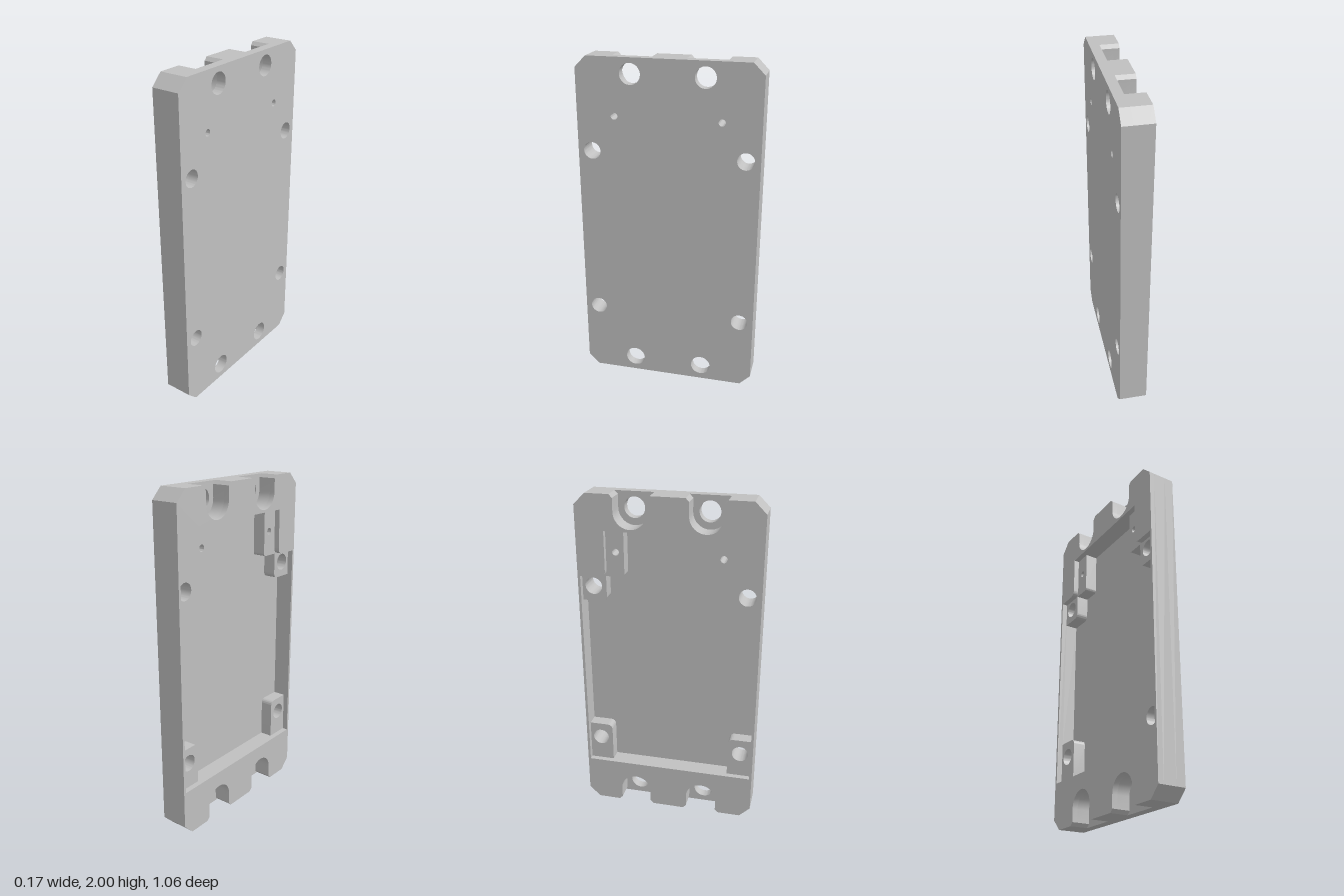
import * as THREE from 'three';
import { toCreasedNormals } from 'three/addons/utils/BufferGeometryUtils.js';

const HOLE_Z = 0.2125;   // offset of the slots and their holes
const SLOT_R = 0.095;

// Closed outline with rounded corners; each point is [u, v, radius]
function roundedPath(points) {
  const path = new THREE.Path();
  const n = points.length;
  points.forEach(([u, v, r = 0], i) => {
    const p = new THREE.Vector2(u, v);
    const toward = (q) => new THREE.Vector2(q[0], q[1]).sub(p).setLength(r).add(p);
    const a = toward(points[(i + n - 1) % n]);
    const b = toward(points[(i + 1) % n]);
    if (i === 0) path.moveTo(a.x, a.y);
    else path.lineTo(a.x, a.y);
    if (r > 0) path.quadraticCurveTo(u, v, b.x, b.y);
  });
  path.closePath();
  return path;
}

// Adds the mirrored half of a right-hand contour
const mirrored = (half) => [...half, ...half.map(([u, v, r]) => [-u, v, r]).reverse()];

function circle(u, v, r) {
  const path = new THREE.Path();
  path.absarc(u, v, r, 0, Math.PI * 2, true);
  return path;
}

// Chamfered plate outline, optionally with U slots in the two ends
function plateOutline(slotted) {
  const half = [[-0.53, 0.065], [-0.465, 0]];
  if (slotted) {
    for (const c of [-HOLE_Z, HOLE_Z]) {
      half.push([c - 0.114, 0], [c - SLOT_R, 0.02]);
      for (let i = 0; i <= 20; i++) {
        const a = Math.PI * (1 - i / 20);
        half.push([c + SLOT_R * Math.cos(a), 0.095 + SLOT_R * Math.sin(a)]);
      }
      half.push([c + SLOT_R, 0.02], [c + 0.114, 0]);
    }
  }
  half.push([0.465, 0], [0.53, 0.065]);
  const all = [...half, ...half.map(([u, v]) => [-u, 2 - v])];
  return new THREE.Shape(all.map(([u, v]) => new THREE.Vector2(u, v)));
}

// Extrudes a side-on shape from x0 to x1
function layer(name, shape, holes, x0, x1, material) {
  shape.holes.push(...holes);
  const geo = new THREE.ExtrudeGeometry(shape, { depth: x1 - x0, bevelEnabled: false, curveSegments: 24 });
  geo.rotateY(Math.PI / 2);
  geo.translate(x0, 0, 0);
  const mesh = new THREE.Mesh(toCreasedNormals(geo, 0.5), material);
  mesh.name = name;
  return mesh;
}

export function createModel() {
  const group = new THREE.Group();
  group.name = 'coverPlate';
  const metal = new THREE.MeshStandardMaterial({ color: 0xc0c0c0 });
  metal.name = 'grey metal';

  const endHoles = [], sideHoles = () => [];
  const screwHoles = () => {
    const list = sideHoles();
    for (const s of [-1, 1]) {
      list.push(circle(s * 0.447, 0.44, 0.05), circle(s * 0.447, 1.46, 0.05));
      list.push(circle(s * 0.308, 1.67, 0.02));
    }
    return list;
  };
  for (const s of [-1, 1]) {
    endHoles.push(circle(s * HOLE_Z, 0.095, 0.06), circle(s * HOLE_Z, 1.91, 0.06));
  }

  // Solid face with all the through holes
  group.add(layer('facePlate', plateOutline(false), [...endHoles, ...screwHoles()], 0.026, 0.083, metal));

  // Lower pocket level: screw bosses and small shelves stand in the pocket
  const bossPocket = roundedPath(mirrored([
    [0.37, 0.285], [0.37, 0.535, 0.035], [0.515, 0.535], [0.515, 1.37],
    [0.37, 1.37, 0.035], [0.37, 1.525], [0.26, 1.525, 0.02], [0.26, 1.795],
  ]));
  group.add(layer('bossFrame', plateOutline(true), [bossPocket, ...screwHoles()], -0.05, 0.026, metal));

  // Upper rim level: open pocket with corner blocks at the top
  const rimPocket = roundedPath(mirrored([
    [0.515, 0.285], [0.515, 1.525], [0.365, 1.525, 0.04], [0.365, 1.795],
  ]));
  group.add(layer('rimFrame', plateOutline(true), [rimPocket], -0.083, -0.05, metal));

  return group;
}
